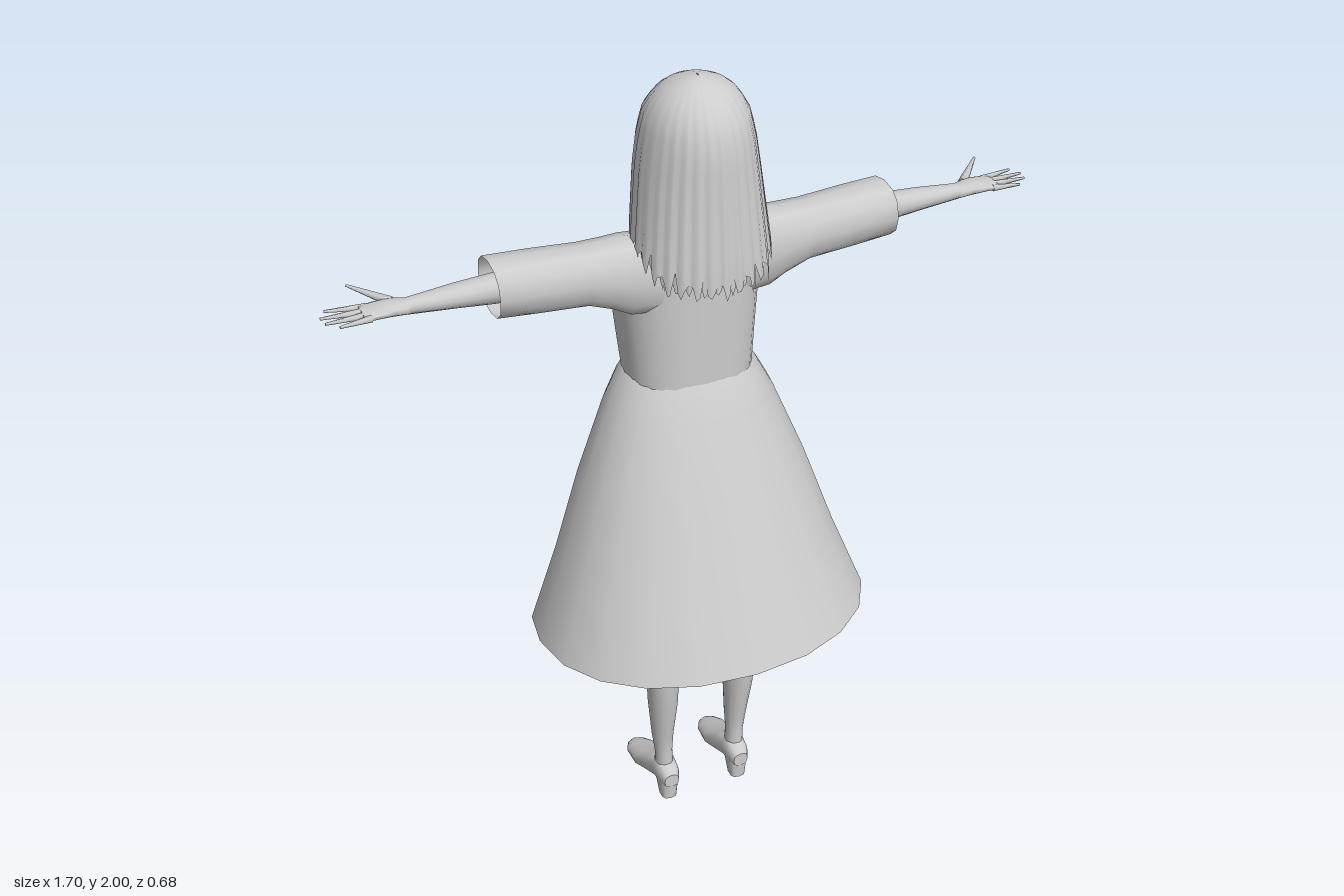
import * as THREE from 'three';

const grey = new THREE.MeshStandardMaterial({ color: 0xcccccc, side: THREE.DoubleSide });
grey.name = 'plain grey';

// Skin through cross-sections (arrays of [x, y, z]); closed rings by default
function loft(name, rings, { closed = true, capStart = false, capEnd = false } = {}) {
  const n = rings[0].length, pos = rings.flat(2), idx = [];
  const steps = closed ? n : n - 1;
  for (let r = 0; r < rings.length - 1; r++) {
    for (let i = 0; i < steps; i++) {
      const a = r * n + i, b = r * n + (i + 1) % n;
      idx.push(a, b, a + n, b, b + n, a + n);
    }
  }
  const cap = (ring, flip) => {
    const base = pos.length / 3;
    const mid = [0, 1, 2].map(k => ring.reduce((s, p) => s + p[k], 0) / n);
    pos.push(...mid, ...ring.flat());
    for (let i = 0; i < n; i++) {
      const a = base + 1 + i, b = base + 1 + (i + 1) % n;
      if (flip) idx.push(base, b, a); else idx.push(base, a, b);
    }
  };
  if (capStart) cap(rings[0], true);
  if (capEnd) cap(rings[rings.length - 1], false);
  const g = new THREE.BufferGeometry();
  g.setAttribute('position', new THREE.Float32BufferAttribute(pos, 3));
  g.setIndex(idx);
  g.computeVertexNormals();
  const m = new THREE.Mesh(g, grey);
  m.name = name;
  return m;
}

// Linear lookup in a table whose first column is the key (ascending)
function at(table, t) {
  let i = 0;
  while (i < table.length - 2 && t > table[i + 1][0]) i++;
  const k = THREE.MathUtils.clamp((t - table[i][0]) / (table[i + 1][0] - table[i][0]), 0, 1);
  return table[i].slice(1).map((v, j) => v + (table[i + 1][j + 1] - v) * k);
}
const pw = (v, p) => Math.sign(v) * Math.abs(v) ** p;
const circle = (n, f) => Array.from({ length: n }, (_, i) => f(i / n * Math.PI * 2));

// Horizontal ring; angle 0 points to the face side (-z)
const flatRing = (n, cx, y, rx, zF, zB, p = 1) => circle(n, a =>
  [cx + rx * pw(Math.sin(a), p), y, (zF + zB) / 2 - (zB - zF) / 2 * pw(Math.cos(a), p)]);
// Upright ring across an arm
const armRing = (n, s, x, y0, y1, z0, z1, p = 0.85) => circle(n, a =>
  [s * x, (y0 + y1) / 2 + (y1 - y0) / 2 * pw(Math.cos(a), p), (z0 + z1) / 2 + (z1 - z0) / 2 * pw(Math.sin(a), p)]);

// Bodice: y, half width, front z, back z
const bodice = [[1.255, 0.152, -0.19, 0.055], [1.35, 0.16, -0.207, 0.055], [1.44, 0.168, -0.218, 0.055],
  [1.5, 0.17, -0.2, 0.055], [1.56, 0.165, -0.16, 0.055], [1.61, 0.15, -0.115, 0.052],
  [1.64, 0.12, -0.09, 0.045], [1.655, 0.05, -0.06, 0.03]];

function addDress(g) {
  g.add(loft('bodice', bodice.map(([y, rx, f, b]) => flatRing(28, 0, y, rx, f, b, 0.82))));

  // Skirt with a hem that dips towards the face side
  const rings = [0, 0.04, 0.13, 0.4, 0.7, 1].map(t => circle(20, a => {
    const front = Math.cos(a), hem = front > 0 ? 0.608 - 0.09 * front ** 1.6 : 0.608 - 0.012 * front;
    const bulge = 0.02 * Math.sin(Math.PI * Math.min(1, t * 1.3) ** 0.6);
    const rx = 0.155 + 0.267 * t + bulge, zc = -0.068 * (1 - t), rz = 0.125 + 0.217 * t + bulge * 0.3;
    return [rx * pw(Math.sin(a), 0.94), 1.27 + (hem - 1.27) * t, zc - rz * pw(front, 0.94)];
  }));
  g.add(loft('skirt', rings));

  // Collar panel laid over the chest
  const panel = [[1.395, 0.03], [1.42, 0.032], [1.421, 0.07], [1.47, 0.066], [1.54, 0.055], [1.62, 0.04]].map(([y, w]) => {
    const [rx, f, b] = at(bodice, y);
    return [-1, -0.5, 0, 0.5, 1].map(u => {
      const s = Math.min(1, Math.abs(u * w / rx)) ** (1 / 0.82);
      return [u * w, y, (f + b) / 2 - (b - f) / 2 * Math.sqrt(1 - s * s) ** 0.82 - 0.005];
    });
  });
  g.add(loft('collarPanel', panel, { closed: false }));
}

function addArm(g, s) {
  const tube = (name, rows, n, opt) => g.add(loft(name, rows.map(r => armRing(n, s, ...r)), opt));
  tube('sleeve', [[0.1, 1.45, 1.64, -0.1, 0.045], [0.17, 1.46, 1.647, -0.095, 0.05], [0.21, 1.485, 1.648, -0.085, 0.05],
    [0.27, 1.51, 1.648, -0.08, 0.05], [0.38, 1.517, 1.652, -0.09, 0.05], [0.48, 1.525, 1.652, -0.1, 0.05]], 12);
  tube('forearm', [[0.28, 1.55, 1.63, -0.06, 0.03], [0.48, 1.56, 1.622, -0.047, 0.022], [0.56, 1.568, 1.618, -0.042, 0.018],
    [0.67, 1.578, 1.61, -0.03, 0.012]], 12);
  tube('palm', [[0.665, 1.578, 1.61, -0.03, 0.012], [0.7, 1.582, 1.612, -0.042, 0.018], [0.735, 1.586, 1.608, -0.046, 0.022],
    [0.765, 1.588, 1.604, -0.044, 0.024]], 10, { capEnd: true });

  // Fingers and thumb: start, end, radius
  const fingers = [[0.75, 1.597, -0.036, 0.835, 1.598, -0.05], [0.755, 1.597, -0.018, 0.85, 1.597, -0.024],
    [0.755, 1.597, 0, 0.845, 1.596, 0], [0.75, 1.596, 0.016, 0.82, 1.594, 0.022],
    [0.695, 1.6, -0.03, 0.77, 1.618, -0.105]];
  for (const [i, f] of fingers.entries()) {
    const a = new THREE.Vector3(s * f[0], f[1], f[2]), b = new THREE.Vector3(s * f[3], f[4], f[5]);
    const m = new THREE.Mesh(new THREE.CylinderGeometry(0.003, i === 4 ? 0.012 : 0.008, a.distanceTo(b), 6), grey);
    m.position.copy(a).lerp(b, 0.5);
    m.quaternion.setFromUnitVectors(new THREE.Vector3(0, 1, 0), b.sub(a).normalize());
    m.name = i === 4 ? 'thumb' : 'finger';
    g.add(m);
  }
}

function addLeg(g, s) {
  // y, centre x, half width, front z, back z
  const leg = [[0.05, 0.1, 0.024, -0.03, 0.035], [0.14, 0.102, 0.023, -0.02, 0.03], [0.2, 0.104, 0.028, -0.03, 0.038],
    [0.32, 0.106, 0.038, -0.033, 0.06], [0.45, 0.107, 0.042, -0.04, 0.075], [0.52, 0.106, 0.045, -0.055, 0.06],
    [0.62, 0.105, 0.05, -0.072, 0.04], [0.85, 0.095, 0.065, -0.1, 0.04], [1.15, 0.075, 0.07, -0.13, 0.03]];
  g.add(loft('leg', leg.map(([y, x, r, f, b]) => flatRing(14, s * x, y, r, f, b))));

  // Shoe sections along z: z, centre x, half width, sole y, top y
  const shoe = [[0.055, 0.1, 0.02, 0.045, 0.085], [0.035, 0.1, 0.029, 0.04, 0.105], [0, 0.1, 0.031, 0.036, 0.115],
    [-0.05, 0.101, 0.034, 0.016, 0.085], [-0.1, 0.103, 0.042, 0.002, 0.055], [-0.15, 0.105, 0.038, 0, 0.035],
    [-0.18, 0.106, 0.024, 0, 0.022], [-0.192, 0.106, 0.008, 0.002, 0.014]];
  g.add(loft('shoe', shoe.map(([z, x, w, y0, y1]) => circle(12, a =>
    [s * x + w * pw(Math.sin(a), 0.8), (y0 + y1) / 2 + (y1 - y0) / 2 * pw(Math.cos(a), 0.8), z])), { capStart: true, capEnd: true }));
  g.add(loft('heel', [[0, 0.021, 0.005, 0.05], [0.055, 0.027, -0.01, 0.054]].map(([y, r, f, b]) =>
    flatRing(10, s * 0.1, y, r, f, b, 0.7)), { capStart: true }));
}

function addHead(g) {
  g.add(loft('neck', [[1.6, 0.055, -0.075, 0.04], [1.65, 0.04, -0.06, 0.03], [1.74, 0.04, -0.06, 0.03]]
    .map(([y, r, f, b]) => flatRing(14, 0, y, r, f, b))));
  const head = [[1.672, 0.012, -0.115, -0.08], [1.682, 0.035, -0.127, -0.04], [1.7, 0.058, -0.131, 0.01],
    [1.73, 0.082, -0.133, 0.06], [1.77, 0.098, -0.13, 0.085], [1.82, 0.105, -0.134, 0.1], [1.88, 0.103, -0.132, 0.1],
    [1.94, 0.075, -0.095, 0.075], [1.97, 0.03, -0.05, 0.03]];
  g.add(loft('head', head.map(([y, r, f, b]) => flatRing(24, 0, y, r, f, b, 0.92)), { capStart: true, capEnd: true }));
  const nose = new THREE.Mesh(new THREE.ConeGeometry(0.014, 0.05, 4), grey);
  nose.position.set(0, 1.772, -0.133);
  nose.rotation.x = -0.35;
  nose.name = 'nose';
  g.add(nose);
}

function addHair(g) {
  // Strand tip height by angle from the face: fringe, side locks, long back
  const tips = [[0, 1.82], [0.5, 1.8], [0.7, 1.74], [0.88, 1.66], [1.3, 1.63], [1.9, 1.59], [2.3, 1.55], [3.15, 1.54]];
  // Hair shape: y, half width, front z, back z
  const shape = [[1.53, 0.167, -0.12, 0.155], [1.6, 0.162, -0.125, 0.152], [1.7, 0.15, -0.14, 0.143], [1.8, 0.138, -0.153, 0.135],
    [1.87, 0.127, -0.152, 0.13], [1.92, 0.115, -0.136, 0.115], [1.96, 0.092, -0.105, 0.088],
    [1.985, 0.06, -0.068, 0.055], [1.997, 0.025, -0.032, 0.02], [2, 0.002, -0.008, 0.002]];
  const n = 120;
  const layer = (name, scale, shift, drop) => {
    const rings = [];
    for (let r = 0; r <= 16; r++) {
      const t = r / 16;
      rings.push(Array.from({ length: n }, (_, i) => {
        const a = i / n * Math.PI * 2, d = Math.min(a, Math.PI * 2 - a), k = i + shift;
        // Zigzag tips and shallow grooves make the strands
        const jag = [0, 0.02, 0.045, 0.015][k % 4] + 0.012 * Math.sin(k * 2.4);
        const tip = at(tips, d)[0] + jag + drop, y = t < 0.5 ? 2 - 0.14 * (t * 2) ** 2 : 1.86 + (tip - 1.86) * (t * 2 - 1);
        const [rx, f, b] = at(shape, y);
        const q = scale * (1 - 0.035 * t * (k % 4 === 2 ? 1 : 0) + 0.012 * t * Math.sin(k * 1.7));
        return [rx * q * Math.sin(a), y, (f + b) / 2 - (b - f) / 2 * q * Math.cos(a)];
      }));
    }
    g.add(loft(name, rings));
  };
  layer('outerHair', 1, 0, 0);
  layer('innerHair', 0.95, 2, 0.005);
}

export function createModel() {
  const root = new THREE.Group();
  root.name = 'woman';
  const part = (name, build, ...args) => {
    const g = new THREE.Group();
    g.name = name;
    build(g, ...args);
    root.add(g);
  };
  part('dress', addDress);
  for (const [side, s] of [['left', 1], ['right', -1]]) {
    part(side + 'Arm', addArm, s);
    part(side + 'Leg', addLeg, s);
  }
  part('face', addHead);
  part('hair', addHair);
  return root;
}
